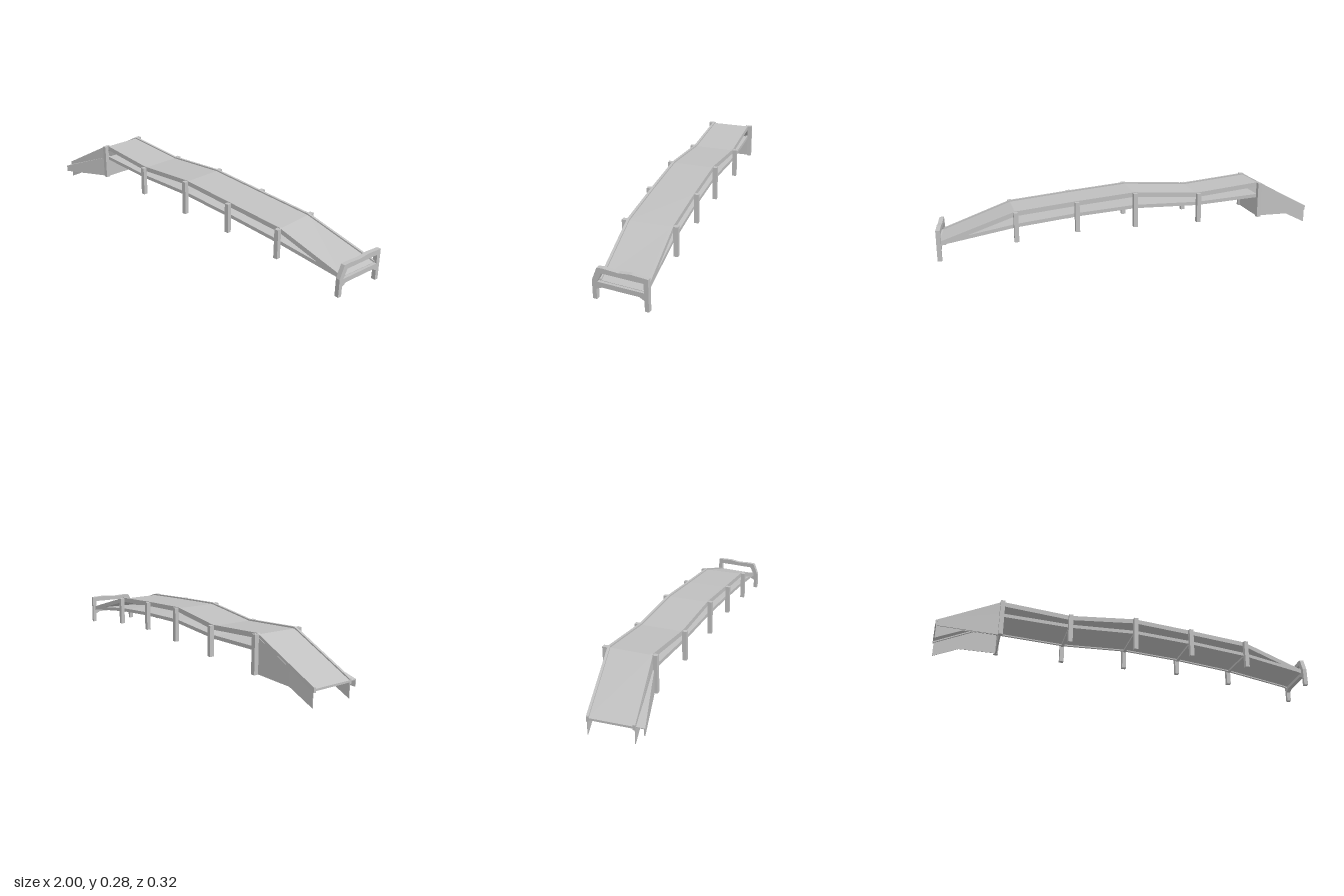
import * as THREE from 'three';

const grey = new THREE.MeshStandardMaterial({ color: 0xc0c0c0 });
grey.name = 'plain grey';

// Rectangular section swept along +x; station = [xBack, zBack, xFront, zFront, yBottom, yTop]
function strip(name, stations) {
  const pos = [], idx = [];
  for (const [xb, zb, xf, zf, y0, y1] of stations) {
    pos.push(xb, y1, zb, xf, y1, zf, xf, y0, zf, xb, y0, zb);
  }
  for (let i = 0; i < stations.length - 1; i++) {
    for (let k = 0; k < 4; k++) {
      const a = i * 4 + k, b = i * 4 + (k + 1) % 4;
      idx.push(a, b, b + 4, a, b + 4, a + 4);
    }
  }
  const e = (stations.length - 1) * 4;
  idx.push(3, 2, 1, 3, 1, 0, e, e + 1, e + 2, e, e + 2, e + 3);
  const indexed = new THREE.BufferGeometry();
  indexed.setAttribute('position', new THREE.Float32BufferAttribute(pos, 3));
  indexed.setIndex(idx);
  const geo = indexed.toNonIndexed();
  geo.computeVertexNormals();
  const mesh = new THREE.Mesh(geo, grey);
  mesh.name = name;
  return mesh;
}

// Bridge stations along x: deck edges, upper and lower rail tops, post foot
const path = [
  { xb: -1.0, xf: -1.0, zb: -0.1, zf: 0.12, top: 0.105 },
  { xb: -0.68, xf: -0.69, zb: -0.14, zf: 0.08, top: 0.275, low: 0.21, foot: 0.087 },
  { xb: -0.335, xf: -0.345, zb: -0.13, zf: 0.097, top: 0.242, low: 0.192, foot: 0.087 },
  { xb: 0.005, xf: -0.005, zb: -0.107, zf: 0.118, top: 0.265, low: 0.198, foot: 0.085 },
  { xb: 0.308, xf: 0.298, zb: -0.096, zf: 0.128, top: 0.24, low: 0.178, foot: 0.085 },
  { xb: 0.615, xf: 0.61, zb: -0.09, zf: 0.135, top: 0.212, low: 0.148, foot: 0.06 },
  { xb: 0.985, xf: 0.952, zb: -0.095, zf: 0.13, top: 0.095, low: 0.094 },
];

// Rail following one edge of the deck
function rail(name, points, side, key, width, height) {
  return strip(name, points.map((p) => {
    const x = side > 0 ? p.xf : p.xb;
    const z = side > 0 ? p.zf : p.zb;
    return [x, side > 0 ? z - width : z, x, side > 0 ? z : z + width, p[key] - height, p[key]];
  }));
}

// Thin floor spanning the two rails, set just below their tops
function floor(name, points, key, thickness) {
  return strip(name, points.map((p) =>
    [p.xb, p.zb + 0.004, p.xf, p.zf - 0.004, p[key] - 0.007 - thickness, p[key] - 0.007]));
}

// End frame with two legs, a top bar and one slanted shoulder
function endFrame() {
  const outline = [[0.158, 0], [0.158, 0.09], [0.132, 0.153], [0.105, 0.155], [0.03, 0.151],
    [-0.03, 0.158], [-0.109, 0.154], [-0.109, 0], [-0.09, 0], [-0.09, 0.05], [-0.065, 0.063],
    [0.11, 0.063], [0.138, 0.05], [0.138, 0]];
  const shape = new THREE.Shape(outline.map(([x, y]) => new THREE.Vector2(x, y)));
  const opening = [[0.133, 0.086], [0.112, 0.13], [-0.088, 0.13], [-0.088, 0.086]];
  shape.holes.push(new THREE.Path(opening.map(([x, y]) => new THREE.Vector2(x, y))));
  const geo = new THREE.ExtrudeGeometry(shape, { depth: 0.021, bevelEnabled: false });
  geo.translate(0, 0, -0.0105);
  const mesh = new THREE.Mesh(geo, grey);
  mesh.rotation.y = -(Math.PI / 2 + 0.14);
  mesh.position.x = 0.974;
  mesh.name = 'endFrame';
  return mesh;
}

export function createModel() {
  const bridge = new THREE.Group();
  bridge.name = 'footbridge';
  const span = path.slice(1);

  // Walking surface and the lower floor beneath it
  bridge.add(floor('deck', path, 'top', 0.01));
  bridge.add(floor('lowerFloor', span, 'low', 0.005));

  // Upper and lower rails on both sides
  for (const side of [-1, 1]) {
    const label = side > 0 ? 'front' : 'back';
    bridge.add(rail(label + 'UpperRail', path, side, 'top', 0.012, 0.024));
    bridge.add(rail(label + 'LowerRail', span, side, 'low', 0.012, 0.018));
  }

  // Posts and cross beams
  for (const p of path.filter((q) => q.foot)) {
    for (const side of [-1, 1]) {
      const height = p.top - 0.003 - p.foot;
      const post = new THREE.Mesh(new THREE.BoxGeometry(0.022, height, 0.022), grey);
      post.position.set(side > 0 ? p.xf : p.xb, p.foot + height / 2,
        side > 0 ? p.zf + 0.011 : p.zb - 0.011);
      post.name = side > 0 ? 'frontPost' : 'backPost';
      bridge.add(post);
    }
    bridge.add(strip('crossBeam', [-0.007, 0.007].map((d) =>
      [p.xb + d, p.zb, p.xf + d, p.zf, p.low - 0.022, p.low - 0.009])));
  }

  // Solid wall under the top of the ramp
  bridge.add(strip('rampWall', [-0.004, 0.004].map((d) =>
    [-0.68 + d, -0.14, -0.69 + d, 0.08, 0.088, 0.2])));

  // Ramp side panels, running down to a point at the outer end
  for (const [name, z] of [['backRampPanel', [-0.1, -0.117, -0.14]],
    ['frontRampPanel', [0.115, 0.101, 0.077]]]) {
    bridge.add(strip(name, [[-0.995, 0.013, 0.09], [-0.87, 0.076, 0.158], [-0.69, 0.088, 0.255]]
      .map(([x, y0, y1], i) => [x, z[i], x, z[i] + 0.003, y0, y1])));
  }

  // Flared wing beside the ramp with a sloping top that closes the gap
  bridge.add(strip('flaredWing', [
    [-0.99, 0.154, -0.99, 0.159, 0.058, 0.092],
    [-0.69, 0.08, -0.69, 0.085, 0.088, 0.205],
  ]));
  bridge.add(strip('wingTop', [
    [-0.99, 0.116, -0.99, 0.157, 0.088, 0.092],
    [-0.69, 0.078, -0.69, 0.084, 0.2, 0.205],
  ]));

  bridge.add(endFrame());
  return bridge;
}
